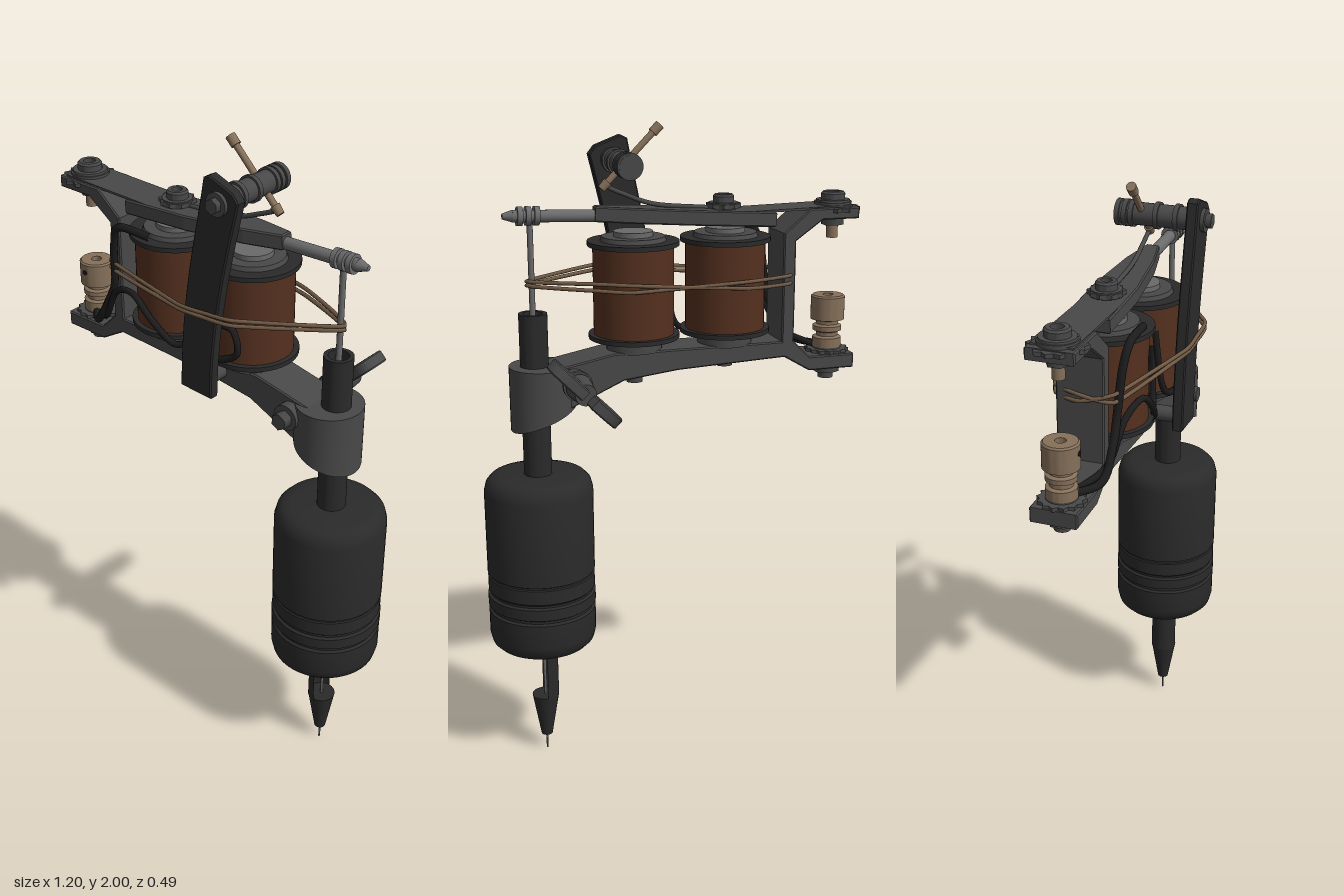
import * as THREE from 'three';
import { toCreasedNormals } from 'three/addons/utils/BufferGeometryUtils.js';

const paint = (name, color, side = THREE.FrontSide) =>
  Object.assign(new THREE.MeshStandardMaterial({ color, side }), { name });
const V = (x, y, z) => new THREE.Vector3(x, y, z);
const ZC = 0.035; // depth of the machine's centre line
const TX = 0.43;  // tube axis

export function createModel() {
  const black = paint('black', 0x2a2a2a, THREE.DoubleSide);
  const wireBlack = paint('wire black', 0x1c1c1c);
  const steel = paint('dark steel', 0x484848);
  const light = paint('light steel', 0x6a6a6a);
  const copper = paint('copper winding', 0x54301f);
  const brass = paint('brass', 0x86705a);
  const bandTan = paint('band tan', 0x6e5843);

  const model = new THREE.Group();
  const add = (name, geo, mat, x = 0, y = 0, z = 0) => {
    const mesh = new THREE.Mesh(geo, mat);
    mesh.name = name;
    mesh.position.set(x, y, z);
    model.add(mesh);
    return mesh;
  };
  // cylinder between two points
  const rod = (name, mat, a, b, r1, r2 = r1, seg = 24) => {
    const mesh = add(name, new THREE.CylinderGeometry(r2, r1, a.distanceTo(b), seg), mat);
    mesh.position.copy(a).add(b).multiplyScalar(0.5);
    mesh.quaternion.setFromUnitVectors(V(0, 1, 0), b.clone().sub(a).normalize());
    return mesh;
  };
  // upright cylinder on the centre line
  const post = (name, mat, x, y0, y1, r1, r2 = r1, seg = 24) =>
    rod(name, mat, V(x, y0, ZC), V(x, y1, ZC), r1, r2, seg);
  const lathe = (name, mat, pts, x) => add(name,
    toCreasedNormals(new THREE.LatheGeometry(pts.map(p => new THREE.Vector2(...p)), 48), 0.6), mat, x, 0, ZC);
  const shapeOf = pts => new THREE.Shape(pts.map(p => new THREE.Vector2(...p)));
  const slab = (shape, depth, bevel = 0.004) => new THREE.ExtrudeGeometry(shape, {
    depth: depth - 2 * bevel, bevelEnabled: bevel > 0, bevelSize: bevel, bevelThickness: bevel,
    bevelOffset: -bevel, bevelSegments: 1, curveSegments: 12 }).translate(0, 0, bevel);
  const tube = (name, mat, pts, r, closed = false, tension = 0.5) => add(name, new THREE.TubeGeometry(
    new THREE.CatmullRomCurve3(pts.map(p => V(...p)), closed, 'catmullrom', tension), 100, r, 8, closed), mat);

  // needle, tip, open half tube and upper tube
  post('needle', light, TX, 0, 0.4, 0.003, 0.006, 8);
  post('tip', black, TX, 0.055, 0.2, 0.018, 0.043);
  add('openTube', new THREE.CylinderGeometry(0.043, 0.043, 0.16, 24, 1, true, Math.PI, Math.PI), black, TX, 0.275, ZC);
  post('lowerTube', black, TX, 0.35, 0.42, 0.043);
  lathe('upperTube', black, [[0, 0.9], [0.043, 0.9], [0.043, 1.46], [0.03, 1.46], [0.03, 1.4], [0, 1.4]], TX);
  post('needleBar', light, TX, 1.39, 1.75, 0.009, 0.009, 12);

  // rounded grip with grooves
  lathe('grip', black, [
    [0, 0.39], [0.12, 0.39], [0.145, 0.396], [0.161, 0.412], [0.168, 0.44],
    [0.168, 0.518], [0.161, 0.524], [0.161, 0.532], [0.169, 0.537], [0.169, 0.572],
    [0.161, 0.577], [0.161, 0.584], [0.167, 0.59], [0.167, 0.635], [0.163, 0.638], [0.163, 0.643],
    [0.168, 0.646], [0.168, 0.91], [0.161, 0.937], [0.145, 0.954], [0.12, 0.96], [0, 0.96]], TX);

  // frame: tray, back post and upper shelf in one profile
  add('frame', slab(shapeOf([
    [-0.58, 1.235], [-0.43, 1.235], [-0.345, 1.285], [0, 1.27], [0.17, 1.25], [0.35, 1.17],
    [0.38, 1.3], [0.2, 1.335], [-0.335, 1.335], [-0.335, 1.67], [-0.42, 1.74], [-0.58, 1.74],
    [-0.58, 1.705], [-0.46, 1.705], [-0.375, 1.645], [-0.375, 1.335], [-0.43, 1.28], [-0.58, 1.28]]), 0.14),
    steel, 0, 0, ZC - 0.07);

  // tube clamp with a slanted underside
  const clamp = new THREE.CylinderGeometry(0.1, 0.1, 0.2, 40);
  const cp = clamp.attributes.position;
  for (let i = 0; i < cp.count; i++) if (cp.getY(i) < 0) cp.setY(i, -0.06 - 0.38 * cp.getX(i));
  clamp.computeVertexNormals();
  add('tubeClamp', toCreasedNormals(clamp, 0.6), steel, 0.407, 1.2, ZC);
  rod('clampBoss', steel, V(0.325, 1.26, -0.07), V(0.325, 1.26, 0.135), 0.04);
  rod('clampBolt', steel, V(0.325, 1.26, 0.13), V(0.325, 1.26, 0.165), 0.026, 0.026, 6);

  // wing screw at the back of the clamp
  rod('wingScrewStem', steel, V(0.325, 1.26, -0.1), V(0.325, 1.26, -0.05), 0.03);
  rod('wingScrewCollar', steel, V(0.325, 1.26, -0.09), V(0.325, 1.26, -0.075), 0.045);
  rod('wingScrewHub', steel, V(0.325, 1.26, -0.19), V(0.325, 1.26, -0.1), 0.032, 0.04);
  const lobe = new THREE.Shape();
  lobe.moveTo(0.02, 0.135);
  lobe.bezierCurveTo(0.06, 0.12, 0.135, 0.1, 0.135, 0.165);
  lobe.bezierCurveTo(0.14, 0.225, 0.1, 0.245, 0.018, 0.245);
  lobe.lineTo(0.018, 0.185);
  lobe.lineTo(0.028, 0.185);
  for (const turn of [0, Math.PI]) {
    const wing = new THREE.Group();
    wing.name = 'wing';
    const blade = new THREE.Mesh(slab(lobe, 0.036).translate(0, 0, -0.018), steel);
    blade.name = 'wingBlade';
    blade.rotation.x = -Math.PI / 2;
    wing.add(blade);
    wing.position.set(0.325, 1.26, 0);
    wing.rotation.z = Math.PI / 4 + turn;
    model.add(wing);
  }

  // pair of coils with cores, flanges and base screws
  for (const x of [-0.17, 0.12]) {
    post('coilWinding', copper, x, 1.378, 1.65, 0.122, 0.122, 48);
    for (const y of [1.368, 1.648]) post('coilFlange', black, x, y, y + 0.014, 0.138, 0.138, 48);
    post('coilFoot', steel, x, 1.33, 1.37, 0.085);
    post('coilCap', steel, x, 1.66, 1.675, 0.1, 0.095, 40);
    post('coilCore', light, x, 1.67, 1.69, 0.06);
    post('baseScrew', steel, x, 1.228 + (x < 0 ? 0.03 : 0), 1.29, 0.026, 0.026, 12);
  }

  // spring, tapered armature bar and its rod
  const spring = rod('spring', steel, V(-0.56, 1.742, ZC), V(-0.2, 1.735, ZC), 0.005, 0.005, 4);
  spring.geometry = new THREE.BoxGeometry(0.007, 0.36, 0.12);
  const bar = add('armatureBar', slab(shapeOf([
    [-0.31, -0.065], [-0.08, -0.065], [0.12, -0.045], [0.24, -0.02],
    [0.24, 0.02], [0.12, 0.045], [-0.08, 0.065], [-0.31, 0.065]]), 0.045), steel, 0, 1.708, ZC);
  bar.rotation.set(-Math.PI / 2, -0.06, 0, 'ZYX');
  bar.rotation.set(-Math.PI / 2, 0, 0);
  bar.rotateY(-0.06);
  rod('armatureRod', light, V(0.2, 1.737, ZC), V(0.48, 1.748, ZC), 0.018);
  rod('armatureRodTip', light, V(0.48, 1.748, ZC), V(0.51, 1.748, ZC), 0.018, 0.008);
  for (const x of [0.41, 0.435, 0.46]) rod('rodRing', light, V(x - 0.008, 1.746, ZC), V(x + 0.008, 1.747, ZC), 0.028);

  // toothed washers and socket screws
  const washer = (x, y, r, n) => {
    const pts = [];
    for (let i = 0; i < n * 2; i++) {
      const a = i * Math.PI / n, q = i % 2 ? r * 0.86 : r;
      pts.push([q * Math.cos(a), q * Math.sin(a)]);
    }
    add('toothedWasher', slab(shapeOf(pts), 0.012, 0), steel, x, y, ZC).rotation.x = -Math.PI / 2;
  };
  const screwTop = (x, y, r) => {
    post('screwCollar', steel, x, y, y + 0.018, r * 1.5, r * 1.4);
    lathe('screwHead', steel, [[0, y], [r, y], [r, y + 0.036], [r * 0.85, y + 0.042],
      [r * 0.5, y + 0.042], [r * 0.5, y + 0.025], [0, y + 0.025]], x);
  };
  washer(-0.52, 1.725, 0.084, 14);
  post('springClampDisc', steel, -0.52, 1.73, 1.752, 0.058);
  screwTop(-0.52, 1.74, 0.037);
  washer(-0.163, 1.748, 0.055, 10);
  screwTop(-0.163, 1.745, 0.032);
  post('springNut', steel, -0.52, 1.68, 1.71, 0.035, 0.035, 6);
  post('springScrewEnd', brass, -0.52, 1.64, 1.69, 0.018);

  // brass binding post on the lower tray
  washer(-0.515, 1.278, 0.07, 14);
  post('bindingBase', steel, -0.515, 1.285, 1.3, 0.045);
  lathe('bindingPost', brass, [[0, 1.295], [0.045, 1.295], [0.045, 1.325], [0.034, 1.33], [0.034, 1.342],
    [0.045, 1.347], [0.045, 1.362], [0.034, 1.367], [0.034, 1.378], [0.053, 1.383], [0.053, 1.455],
    [0.048, 1.46], [0.016, 1.46], [0.016, 1.43], [0, 1.43]], -0.515);
  rod('bindingPin', wireBlack, V(-0.515, 1.43, 0.08), V(-0.515, 1.43, 0.09), 0.008);
  post('bindingNut', steel, -0.515, 1.212, 1.238, 0.042, 0.042, 6);
  post('bindingScrewEnd', steel, -0.515, 1.192, 1.215, 0.024);

  // curved front side plate
  const plate = new THREE.Shape();
  plate.moveTo(0, 1.28);
  plate.lineTo(0.115, 1.275);
  plate.bezierCurveTo(0.12, 1.5, 0.16, 1.68, 0.215, 1.9);
  plate.lineTo(0.195, 1.925);
  plate.lineTo(0.115, 1.955);
  plate.lineTo(0.095, 1.945);
  plate.bezierCurveTo(0.06, 1.75, 0.01, 1.6, 0, 1.28);
  add('sidePlate', slab(plate, 0.034), black, 0, 0, 0.18);
  rod('sidePlateSpacer', steel, V(0.06, 1.305, 0.09), V(0.06, 1.305, 0.185), 0.024);

  // contact holder across the top with knurled rings
  const cx = 0.147, cy = 1.885;
  rod('contactHolder', steel, V(cx, cy, -0.045), V(cx, cy, 0.185), 0.033);
  for (const z of [-0.037, -0.015, 0.005, 0.08, 0.14])
    rod('holderRing', steel, V(cx, cy, z - 0.007), V(cx, cy, z + 0.007), 0.039);
  rod('holderWasher', steel, V(cx, cy, 0.212), V(cx, cy, 0.225), 0.034);
  rod('holderBolt', steel, V(cx, cy, 0.222), V(cx, cy, 0.243), 0.022, 0.022, 6);
  rod('contactScrew', brass, V(0.045, 1.985, ZC), V(0.21, 1.82, ZC), 0.01, 0.01, 12);
  rod('contactScrewHead', brass, V(0.036, 1.994, ZC), V(0.058, 1.972, ZC), 0.015, 0.015, 12);
  rod('contactTip', brass, V(0.195, 1.835, ZC), V(0.215, 1.815, ZC), 0.015, 0.012, 12);
  tube('contactSpring', steel, [[0.205, 1.825, ZC], [0.15, 1.8, ZC], [0.05, 1.765, ZC], [-0.12, 1.748, ZC]], 0.007);

  // elastic bands looped round the coils and needle bar
  for (const s of [-1, 1]) {
    tube('elasticBand', bandTan, [
      [0.445, 1.55 + s * 0.006, ZC], [0.2, 1.552 + s * 0.008, 0.215], [0.1, 1.545 + s * 0.007, 0.222],
      [0, 1.54 + s * 0.006, 0.22], [-0.35, 1.526 + s * 0.012, 0.13], [-0.385, 1.528 - s * 0.01, ZC],
      [-0.35, 1.53 - s * 0.012, -0.045], [-0.2, 1.532 - s * 0.01, -0.096], [0.15, 1.54 + s * 0.01, -0.096],
      [0.25, 1.545 + s * 0.01, -0.065]], 0.006, true, 0.2);
  }

  // insulated wires
  tube('postWire', wireBlack, [[-0.5, 1.295, 0.06], [-0.43, 1.31, 0.12], [-0.375, 1.39, 0.13],
    [-0.34, 1.47, 0.13], [-0.325, 1.6, 0.14], [-0.29, 1.67, 0.15], [-0.17, 1.67, 0.145]], 0.012);
  tube('coilWire', wireBlack, [[-0.48, 1.295, 0.06], [-0.39, 1.34, 0.12], [-0.32, 1.45, 0.145],
    [-0.23, 1.48, 0.165], [-0.15, 1.42, 0.17], [-0.08, 1.36, 0.15], [-0.03, 1.4, 0.13], [-0.01, 1.55, 0.12]], 0.01);
  tube('linkWire', wireBlack, [[-0.02, 1.6, 0.13], [0, 1.42, 0.15], [0.08, 1.38, 0.165],
    [0.17, 1.42, 0.165], [0.16, 1.49, 0.165], [0.11, 1.5, 0.165]], 0.01);
  return model;
}
